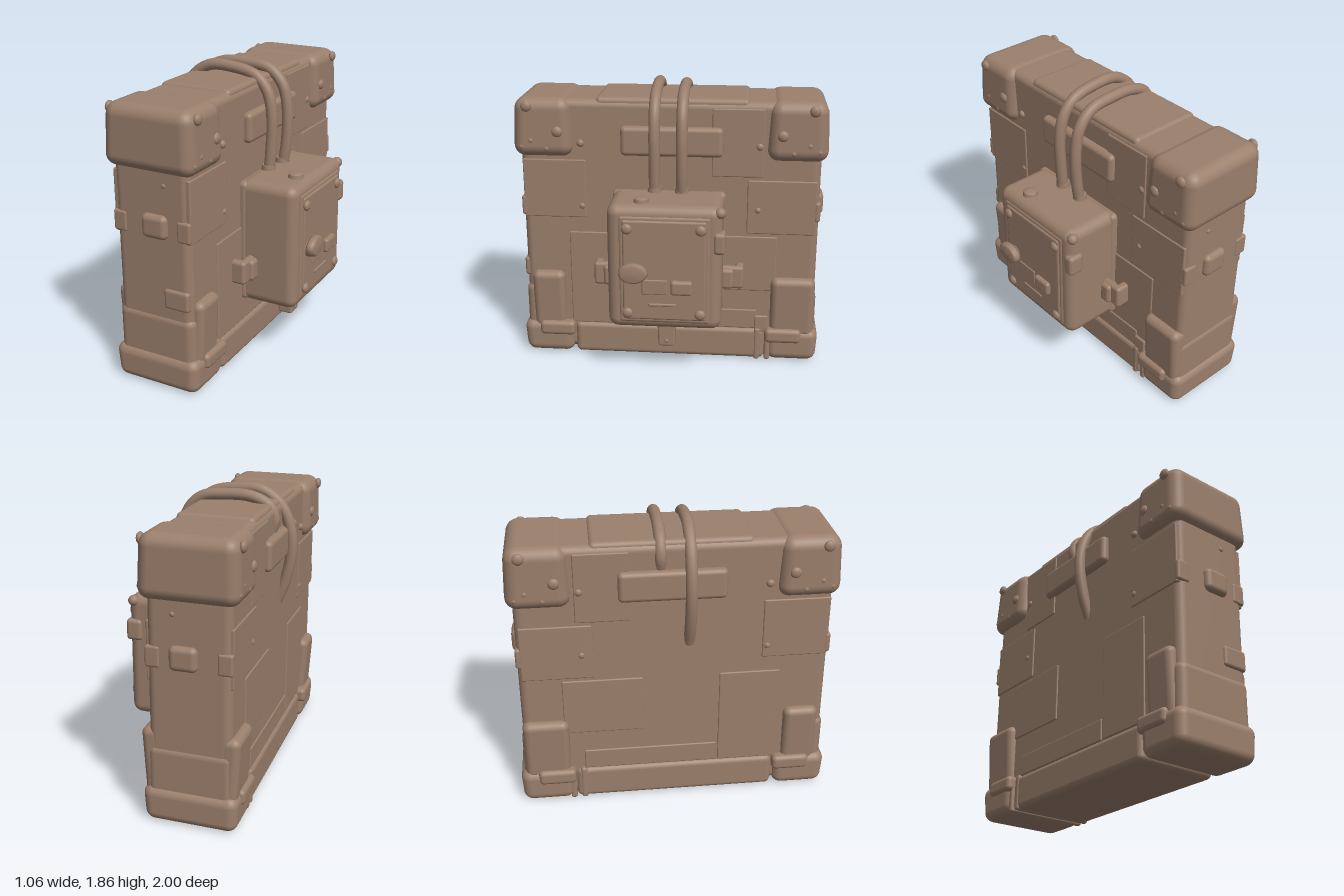
import * as THREE from 'three';
import { RoundedBoxGeometry } from 'three/addons/geometries/RoundedBoxGeometry.js';

export function createModel() {
  const model = new THREE.Group();
  model.name = 'armouredPanelWithControlBox';
  const clay = new THREE.MeshStandardMaterial({ color: 0x9b7f6c });
  clay.name = 'clayBrown';
  const MID = -0.18; // middle of the slab in x

  function add(name, geometry, x, y, z) {
    const mesh = new THREE.Mesh(geometry, clay);
    mesh.name = name;
    mesh.position.set(x, y, z);
    model.add(mesh);
    return mesh;
  }

  // Rounded block from its limits; taper widens (+) or narrows (-) its top in x and z
  function block(name, [x0, x1], [y0, y1], [z0, z1], r = 0.03, taper = 0) {
    const w = x1 - x0, h = y1 - y0, d = z1 - z0;
    const g = new RoundedBoxGeometry(w, h, d, 4, Math.min(r, w * 0.49, h * 0.49, d * 0.49));
    if (taper) {
      const p = g.attributes.position;
      for (let i = 0; i < p.count; i++) {
        const k = taper * p.getY(i) / h;
        p.setX(i, p.getX(i) + Math.sign(p.getX(i)) * k);
        p.setZ(i, p.getZ(i) + Math.sign(p.getZ(i)) * k);
      }
    }
    return add(name, g, (x0 + x1) / 2, (y0 + y1) / 2, (z0 + z1) / 2);
  }

  // Flattened dome pointing along x, y or z
  function rivet(name, x, y, z, r, axis = 'x', flat = 0.6) {
    const m = add(name, new THREE.SphereGeometry(r, 14, 10), x, y, z);
    m.scale[axis] = flat;
  }

  // Thin slab raised off a broad face; side +1 is the box side
  const faceX = (side) => (side > 0 ? 0.07 : -0.435);
  function facePlate(name, side, y, z, t, r) {
    const f = faceX(side);
    block(name, side > 0 ? [f - 0.04, f + t] : [f - t, f + 0.04], y, z, r);
  }

  // Main slab and its foot rail
  block('slab', [-0.435, 0.07], [0.03, 1.76], [-0.96, 0.96], 0.05);
  block('footRail', [-0.455, 0.09], [0.005, 0.225], [-0.64, 0.64], 0.035);
  block('topRidge', [-0.42, 0.06], [1.68, 1.775], [-0.5, 0.47], 0.03);

  // Corner caps, gussets and clips
  for (const end of [1, -1]) {
    const span = (a, b) => (end > 0 ? [a, b] : [-b, -a]);
    block('topCornerCap', [-0.48, 0.115], [1.39, 1.77], span(0.62, 0.995), 0.075, -0.015);
    block('bottomCornerCap', [-0.475, 0.105], [0, 0.23], span(0.65, 0.99), 0.06, 0.012);
    for (const side of [1, -1]) {
      const f = faceX(side);
      const outX = (t) => (side > 0 ? [f - 0.08, f + t] : [f - t, f + 0.08]);
      // Gusset leans outwards towards its top
      const gusset = block('gusset', outX(0.04), [0.18, 0.6],
        end > 0 ? [0.7, 0.92] : [-0.96, -0.67], 0.045);
      gusset.rotation.z = -side * 0.06;
      block('cornerClip', outX(0.06), [0.14, 0.24], span(0.64, 0.88), 0.03);
      // Cap rivets
      const rx = side > 0 ? 0.112 : -0.477;
      for (const [y, z, r] of [[1.72, 0.9, 0.035], [1.56, 0.71, 0.035], [1.5, 0.88, 0.018],
        [1.45, 0.78, 0.018], [1.46, 0.94, 0.015]]) rivet('capRivet', rx, y, end * z, r);
      rivet('slabRivet', f, 1.48, end * 0.57, 0.025, 'x', 0.8);
      rivet('slabRivet', f, 1.06, end * 0.57, 0.022, 'x', 0.8);
      rivet('slabRivet', f, 0.34, end * 0.78, 0.02, 'x', 1.8);
      block('edgeNub', outX(0.01), [0.99, 1.12], span(0.93, 0.968), 0.015);
    }
    // Lugs on the narrow ends
    block('endLug', [-0.24, -0.07], [0.99, 1.14], span(0.9, 0.995), 0.035);
    if (end > 0) block('lowerEndLug', [-0.11, 0.06], [0.55, 0.68], span(0.9, 0.975), 0.02);
    block('endSkirt', [-0.445, 0.08], [0.15, 0.5], span(0.8, 0.97), 0.05);
    rivet('endRivet', MID + 0.09, 1.32, end * 0.96, 0.015, 'z');
  }

  // Patchwork armour plates and name-free tags on the broad faces
  for (const side of [1, -1]) {
    facePlate('faceTag', side, [1.41, 1.6], [-0.34, 0.31], 0.045, 0.03);
    for (const [y, z] of [[[0.98, 1.37], [0.54, 0.95]], [[0.5, 0.88], [-0.7, -0.2]],
      [[1.28, 1.72], [-0.6, -0.27]], [[0.225, 0.88], [0.28, 0.66]], [[0.9, 1.26], [-0.94, -0.5]],
      [[0.225, 0.36], [-0.58, 0.27]]]) facePlate('armourPlate', side, y, z, 0.008, 0.008);
  }
  for (const z of [-0.59, -0.66]) block('railBand', [-0.46, 0.095], [0.002, 0.23], [z - 0.02, z + 0.02], 0.015);
  facePlate('railTab', 1, [0.2, 0.32], [-0.66, -0.57], 0.015, 0.01);

  // Control box with framed lid
  block('controlBox', [0.05, 0.445], [0.37, 1.19], [-0.355, 0.36], 0.065);
  block('boxCollar', [0.04, 0.115], [0.38, 1.18], [-0.365, 0.365], 0.03);
  block('lidFrame', [0.4, 0.452], [0.42, 1.13], [-0.285, 0.285], 0.02);
  block('lid', [0.42, 0.462], [0.445, 1.105], [-0.26, 0.26], 0.015);
  for (const y of [0.49, 1.05]) for (const z of [-0.225, 0.23]) rivet('lidScrew', 0.462, y, z, 0.034);
  block('lidSwitch', [0.44, 0.49], [0.625, 0.72], [-0.175, -0.04], 0.02);
  block('lidSlot', [0.44, 0.469], [0.62, 0.72], [-0.02, 0.14], 0.008);
  block('lidRidge', [0.44, 0.469], [0.54, 0.56], [-0.08, 0.1], 0.008);
  block('latch', [0.35, 0.455], [0.89, 1.03], [-0.375, -0.3], 0.025);

  // Oval knob on a short stem
  const stem = add('knobStem', new THREE.CylinderGeometry(0.05, 0.06, 0.06, 20), 0.475, 0.755, 0.19);
  stem.rotation.z = -Math.PI / 2;
  const knobProfile = [[0, -0.025], [0.08, -0.025], [0.093, -0.01], [0.088, 0.018], [0.07, 0.028], [0, 0.03]]
    .map(([r, y]) => new THREE.Vector2(r, y));
  const knob = add('knob', new THREE.LatheGeometry(knobProfile, 24), 0.503, 0.775, 0.19);
  knob.rotation.z = -Math.PI / 2;
  knob.scale.x = 0.7;

  // Buttons on top of the box
  add('topButton', new THREE.CylinderGeometry(0.045, 0.053, 0.05, 20), 0.345, 1.187, 0.15);
  rivet('topButtonDome', 0.345, 1.21, 0.15, 0.045, 'y', 0.25);
  rivet('cornerBolt', 0.41, 1.15, -0.34, 0.035, 'x', 1);

  // Side brackets holding the box to the slab
  for (const s of [1, -1]) {
    const span = (a, b) => (s > 0 ? [a, b] : [-b, -a]);
    block('bracketArm', [0.115, 0.165], [0.545, 0.7], span(0.33, 0.49), 0.022);
    block('bracketLeg', [0.04, 0.165], [0.545, 0.7], span(0.435, 0.49), 0.022);
    block('bracketClasp', [0.1, 0.19], [0.55, 0.69], span(0.34, 0.425), 0.025);
  }

  // Outlet below the box
  block('outlet', [0.18, 0.285], [0.17, 0.42], [-0.055, 0.06], 0.015, 0.008);
  rivet('outletPin', 0.284, 0.21, 0, 0.014);

  // Cables arching from the box over the slab to its far face
  function cable(name, z, points) {
    const curve = new THREE.CatmullRomCurve3(points.map(([x, y, dz = 0]) => new THREE.Vector3(x, y, z + dz)));
    add(name, new THREE.TubeGeometry(curve, 64, 0.036, 14), 0, 0, 0);
    const [x, y] = points[0];
    add(name + 'Socket', new THREE.CylinderGeometry(0.042, 0.048, 0.06, 16), x, y + 0.04, z);
  }
  cable('frontCable', 0.09, [[0.125, 1.15], [0.14, 1.32], [0.145, 1.55], [0.11, 1.7], [0.03, 1.785],
    [-0.14, 1.822], [-0.3, 1.815], [-0.42, 1.73], [-0.485, 1.58], [-0.495, 1.42], [-0.46, 1.24], [-0.41, 1.1]]);
  cable('rearCable', -0.085, [[0.135, 1.15], [0.16, 1.32], [0.165, 1.55], [0.13, 1.7], [0.04, 1.79],
    [-0.12, 1.815], [-0.28, 1.81], [-0.39, 1.76], [-0.425, 1.68], [-0.4, 1.58]]);

  return model;
}
